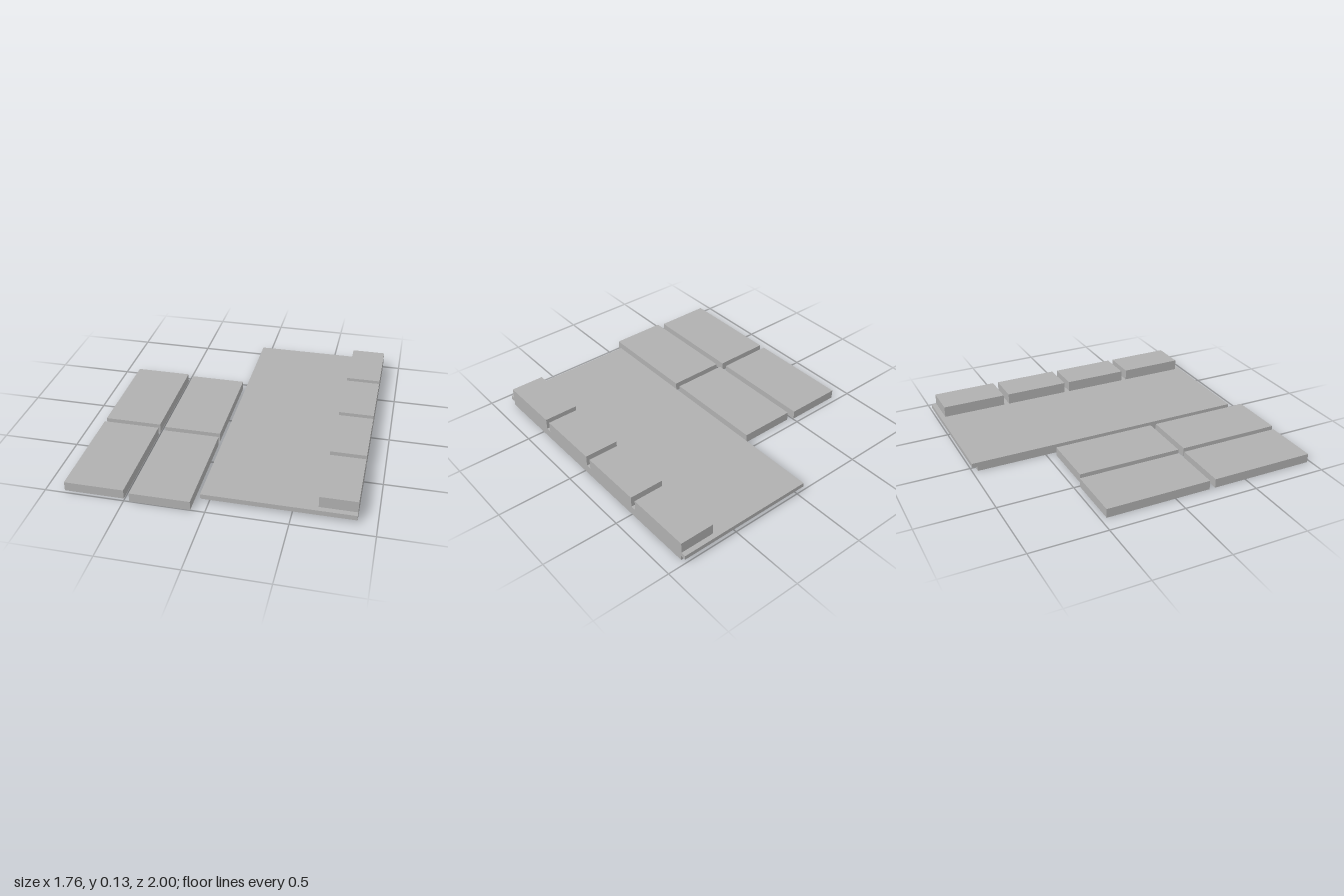
import * as THREE from 'three';

export function createModel() {
  const model = new THREE.Group();
  const grey = new THREE.MeshStandardMaterial({ color: 0xb0b0b0 });
  grey.name = 'grey';
  const thick = 0.06;

  function slab(name, x0, x1, y0, y1, z0, z1) {
    const mesh = new THREE.Mesh(new THREE.BoxGeometry(x1 - x0, y1 - y0, z1 - z0), grey);
    mesh.position.set((x0 + x1) / 2, (y0 + y1) / 2, (z0 + z1) / 2);
    mesh.name = name;
    model.add(mesh);
  }

  // Base panel: the upper half overhangs at both ends, extruded across x
  const profile = new THREE.Shape([
    [-0.965, 0], [0.88, 0], [0.88, 0.032], [0.915, 0.032],
    [0.915, thick], [-1, thick], [-1, 0.032], [-0.965, 0.032],
  ].map(([z, y]) => new THREE.Vector2(z, y)));
  const panelGeometry = new THREE.ExtrudeGeometry(profile, { depth: 0.932, bevelEnabled: false });
  panelGeometry.rotateY(-Math.PI / 2).translate(0.882, 0, 0);
  const panel = new THREE.Mesh(panelGeometry, grey);
  panel.name = 'basePanel';
  model.add(panel);

  // Row of raised blocks along the panel's outer edge
  for (let i = 0; i < 4; i++) {
    const z = -0.967 + i * 0.471;
    slab('raisedBlock', 0.652, 0.882, thick, 0.133, z, z + 0.434);
  }

  // Four loose tiles in two staggered columns
  for (const [x0, x1, z] of [[-0.882, -0.506, -0.461], [-0.465, -0.089, -0.441]]) {
    for (const offset of [0, 0.74]) {
      slab('looseTile', x0, x1, 0, thick, z + offset, z + offset + 0.7);
    }
  }

  return model;
}
